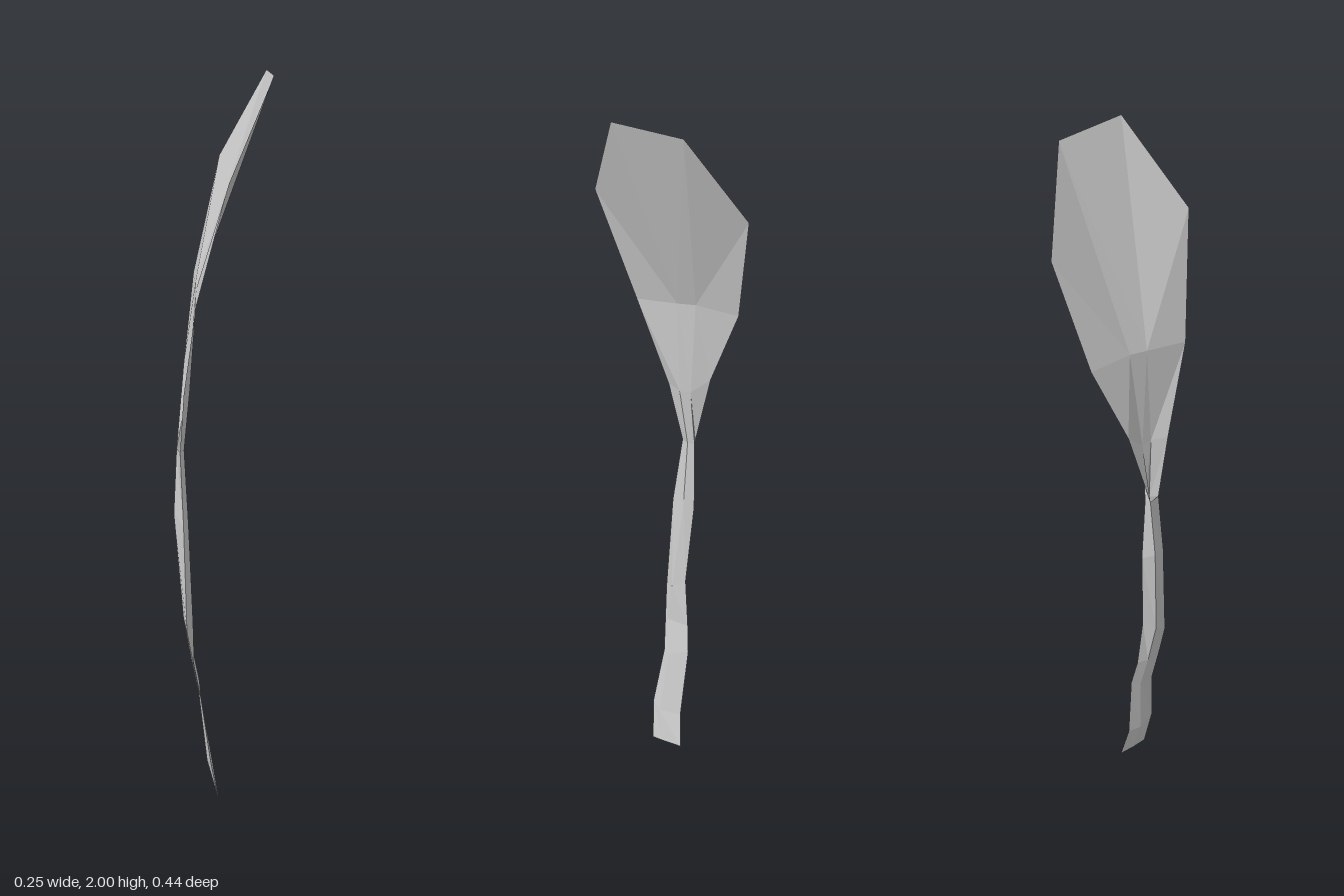
import * as THREE from 'three';

// Sections of four points: left edge, left rib, right rib, right edge
const neck = [
  [[-0.075, 1.42, 0.145], [-0.068, 1.44, 0.02], [-0.066, 1.45, -0.035], [-0.065, 1.45, -0.16]],
  [[-0.103, 1.17, 0.065], [-0.085, 1.17, 0.022], [-0.088, 1.17, -0.01], [-0.097, 1.22, -0.065]],
  [[-0.112, 1, 0.027], [-0.1, 1, 0.005], [-0.105, 1, -0.014], [-0.12, 1, -0.008]],
];
const stalk = [
  neck[2],
  [[-0.105, 0.8, 0.053], [-0.09, 0.8, 0.012], [-0.098, 0.8, -0.018], [-0.129, 0.82, 0.003]],
  [[-0.098, 0.5, 0.07], [-0.08, 0.52, 0.042], [-0.083, 0.55, 0], [-0.106, 0.53, 0.03]],
  [[-0.08, 0.4, 0.064], [-0.078, 0.4, 0.058], [-0.075, 0.4, -0.012], [-0.084, 0.4, 0.02]],
  [[-0.06, 0.3, 0.057], [-0.058, 0.29, 0.04], [-0.06, 0.32, -0.022], [-0.064, 0.3, 0.01]],
  [[-0.035, 0.12, 0.08], [-0.027, 0.1, 0.055], [-0.035, 0.1, -0.01], [-0.042, 0.1, 0.03]],
  [[-0.013, 0, 0.07], [-0.012, 0, 0.04], [-0.013, 0, -0.022], [-0.015, 0, 0.025]],
];

function meshFrom(name, triangles, material) {
  const geometry = new THREE.BufferGeometry();
  geometry.setAttribute('position', new THREE.Float32BufferAttribute(triangles.flat(2), 3));
  geometry.computeVertexNormals();
  const mesh = new THREE.Mesh(geometry, material);
  mesh.name = name;
  return mesh;
}

// Joins consecutive sections with faces; closed adds the face from last to first point
function loft(rows, closed) {
  const triangles = [];
  for (let i = 0; i < rows.length - 1; i++) {
    const a = rows[i], b = rows[i + 1];
    for (let j = 0; j < (closed ? 4 : 3); j++) {
      const k = (j + 1) % 4;
      triangles.push([a[j], b[j], b[k]], [a[j], b[k], a[k]]);
    }
  }
  return triangles;
}

export function createModel() {
  const grey = new THREE.MeshStandardMaterial({ color: 0xcccccc, side: THREE.DoubleSide, flatShading: true });
  grey.name = 'lightGrey';
  const group = new THREE.Group();
  group.name = 'leaf';

  // Broad upper blade, fanned out from the two ribs
  const [sideL, ribL, ribR, sideR] = neck[0];
  const tipL = [0.126, 2, 0.097], tipR = [0.124, 1.995, -0.1];
  const wideL = [0.005, 1.75, 0.218], wideR = [0.009, 1.757, -0.22];
  const blade = [
    [ribL, ribR, tipR], [ribL, tipR, tipL],
    [ribL, tipL, wideL], [ribL, wideL, sideL],
    [ribR, wideR, tipR], [ribR, sideR, wideR],
  ];
  group.add(meshFrom('blade', blade, grey));

  // Narrowing lower blade and the twisted stalk
  group.add(meshFrom('bladeBase', loft(neck, false), grey));
  group.add(meshFrom('stalk', loft(stalk, true), grey));
  return group;
}
